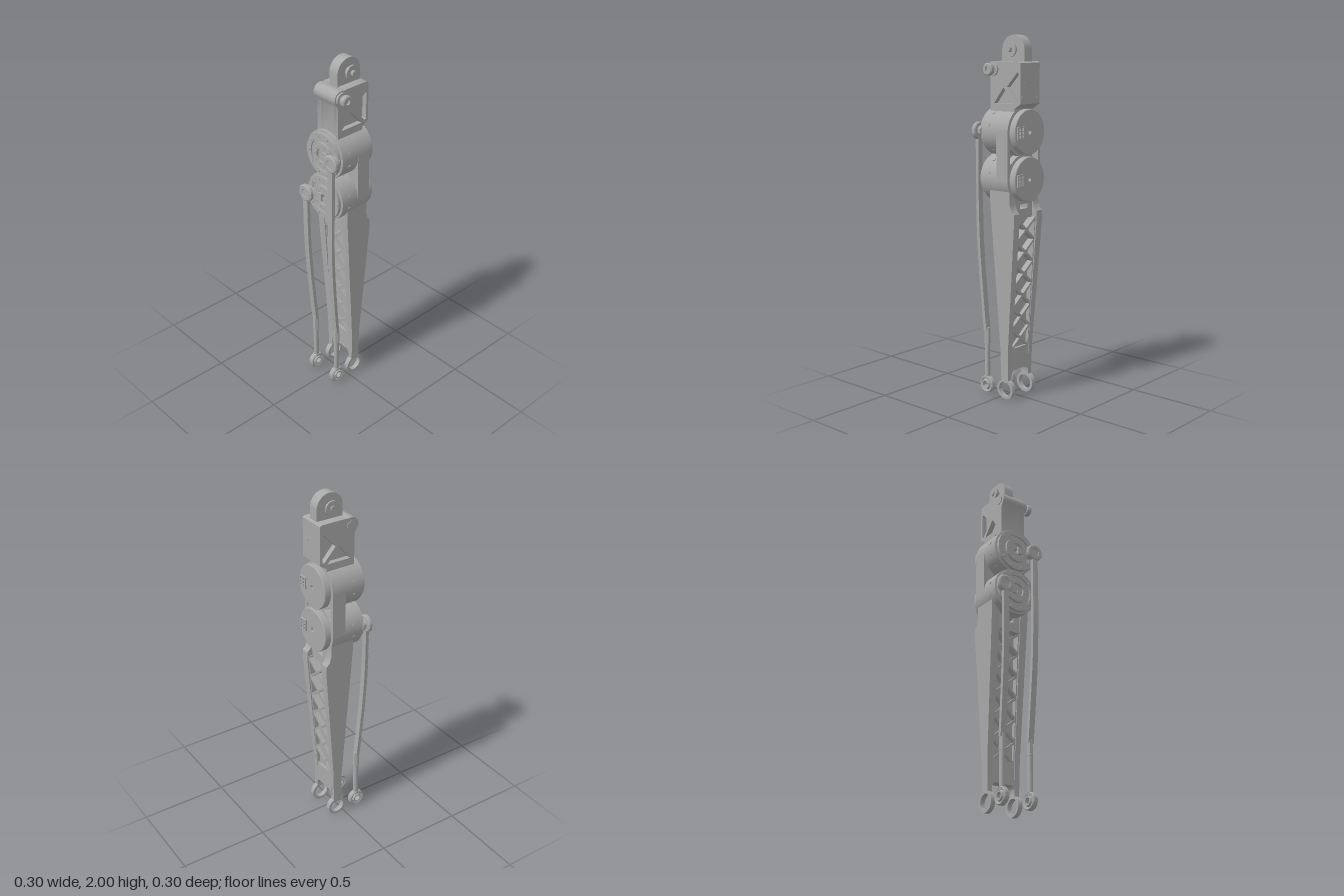
import * as THREE from 'three';
import { toCreasedNormals } from 'three/addons/utils/BufferGeometryUtils.js';

const metal = new THREE.MeshStandardMaterial({ color: 0xa8a8a8 });
metal.name = 'grey metal';

const polygon = pts => new THREE.Shape(pts.map(p => new THREE.Vector2(p[0], p[1])));
const hole = (x, y, r) => new THREE.Path().absarc(x, y, r, 0, Math.PI * 2, true);
const extrude = (shape, depth, z = 0) =>
  new THREE.ExtrudeGeometry(shape, { depth, bevelEnabled: false, curveSegments: 20 }).translate(0, 0, z);

// Extrusion running along x; the shape is drawn in (z, y)
const extrudeX = (shape, x0, x1) => extrude(shape, x1 - x0).rotateY(Math.PI / 2).translate(x0, 0, 0);

// Turned part from [radius, offset] pairs, lying along x or z
function turned(profile, axis, segments = 40) {
  const g = new THREE.LatheGeometry(profile.map(p => new THREE.Vector2(p[0], p[1])), segments);
  return axis === 'x' ? g.rotateZ(-Math.PI / 2) : g.rotateX(Math.PI / 2);
}

// Moves every vertex by a rule
function warp(g, rule) {
  const p = g.attributes.position, v = new THREE.Vector3();
  for (let i = 0; i < p.count; i++) {
    rule(v.fromBufferAttribute(p, i));
    p.setXYZ(i, v.x, v.y, v.z);
  }
  g.computeVertexNormals();
  return g;
}

export function createModel() {
  const model = new THREE.Group();
  const add = (name, g, x = 0, y = 0, z = 0) => {
    const m = new THREE.Mesh(toCreasedNormals(g, 0.6), metal);
    m.name = name;
    m.position.set(x, y, z);
    model.add(m);
    return m;
  };
  const box = (name, w, h, d, x, y, z) => add(name, new THREE.BoxGeometry(w, h, d), x, y, z);

  // Top eye with its pin and washers
  const eye = new THREE.Shape();
  eye.moveTo(-0.03, 1.84);
  eye.lineTo(0.126, 1.84);
  eye.absarc(0.048, 1.922, 0.078, 0, Math.PI, false);
  add('topEye', extrude(eye, 0.06, -0.03));
  add('topPin', turned([[0, -0.066], [0.015, -0.066], [0.015, -0.058], [0.04, -0.058], [0.04, -0.048],
    [0.026, -0.046], [0.026, 0.046], [0.04, 0.048], [0.04, 0.058], [0.015, 0.058], [0.015, 0.075], [0, 0.075]], 'z'),
  0.048, 1.925, 0);

  // Upper block: solid core between two pocketed cheeks
  const blockShape = holes => {
    const s = new THREE.Shape();
    s.moveTo(-0.07, 1.57);
    [[0.1, 1.57], [0.1, 1.615], [0.14, 1.64], [0.14, 1.855], [0.125, 1.862], [-0.01, 1.862]]
      .forEach(p => s.lineTo(p[0], p[1]));
    s.absarc(-0.05, 1.82, 0.043, 1.2, 3.6, false);
    s.lineTo(-0.07, 1.77);
    if (holes) {
      s.holes.push(polygon([[-0.045, 1.64], [0.022, 1.725], [0.095, 1.64]]));
      s.holes.push(polygon([[0.045, 1.728], [0.118, 1.805], [0.126, 1.8], [0.126, 1.655], [0.115, 1.65]]));
    }
    return s;
  };
  add('blockCore', extrude(blockShape(false), 0.1, -0.05));
  add('frontCheek', extrude(blockShape(true), 0.029, 0.05));
  add('backCheek', extrude(blockShape(true), 0.029, -0.079));
  for (const [y, z] of [[1.745, 0.045], [1.67, 0.06]]) {
    for (const s of [1, -1]) add('blockScrew', turned([[0, 0], [0.01, 0], [0.01, 0.003], [0, 0.003]], 'x', 12), 0.139, y, s * z);
  }

  // Side pin and its nut
  add('sidePin', turned([[0, 0.07], [0.036, 0.07], [0.036, 0.09], [0.022, 0.092], [0.022, 0.1], [0.03, 0.102],
    [0.033, 0.108], [0.033, 0.126], [0.028, 0.131], [0.014, 0.131], [0.014, 0.118], [0, 0.118]], 'z'), -0.05, 1.82, 0);
  add('sideNut', turned([[0, -0.083], [0.026, -0.083], [0.026, -0.07], [0, -0.07]], 'z', 6), -0.05, 1.82, 0);

  // Two motors with hollow shafts, stepped output faces, screws and sockets
  for (const y of [1.49, 1.236]) {
    add('motor', turned([[0.012, -0.1], [0.04, -0.1], [0.04, -0.113], [0.072, -0.113], [0.072, -0.098], [0.092, -0.098],
      [0.092, -0.107], [0.122, -0.107], [0.122, -0.09], [0.135, -0.088], [0.135, 0.1], [0.118, 0.1], [0.118, 0.104],
      [0.122, 0.104], [0.122, 0.136], [0.119, 0.14], [0.012, 0.14], [0.012, -0.1]], 'x', 56), 0, y, 0);
    for (let i = 0; i < 10; i++) {
      const a = i * Math.PI / 5;
      add('faceScrew', turned([[0, -0.112], [0.009, -0.112], [0.009, -0.095], [0, -0.095]], 'x', 8),
        0, y + 0.107 * Math.sin(a), 0.107 * Math.cos(a));
      add('hubScrew', turned([[0, -0.117], [0.007, -0.117], [0.007, -0.11], [0, -0.11]], 'x', 8),
        0, y + 0.056 * Math.sin(a), 0.056 * Math.cos(a));
    }
    for (const s of [1, -1]) {
      for (const deg of [-48, -16, 16, 48]) {
        const a = deg * Math.PI / 180;
        const screw = add('housingScrew', new THREE.CylinderGeometry(0.009, 0.009, 0.006, 10),
          -0.037, y + 0.135 * Math.sin(a), s * 0.135 * Math.cos(a));
        screw.rotation.x = s * (Math.PI / 2 - a);
      }
    }
    // Socket frame with contact bars
    const frame = polygon([[-0.105, -0.033], [-0.055, -0.033], [-0.055, 0.033], [-0.105, 0.033]]);
    for (const u of [-0.092, -0.068]) {
      for (const v of [-0.019, 0, 0.019]) {
        frame.holes.push(polygon([[u - 0.008, v - 0.007], [u + 0.008, v - 0.007], [u + 0.008, v + 0.007], [u - 0.008, v + 0.007]]));
      }
    }
    add('socket', extrudeX(frame, 0.138, 0.148), 0, y, 0);
  }

  // Frame joining the motors, with triangular pockets
  const joinOutline = [[-0.128, 1.236], [0.128, 1.236], [0.128, 1.49], [-0.128, 1.49]];
  const join = polygon(joinOutline);
  for (const s of [1, -1]) join.holes.push(polygon([[s * 0.117, 1.405], [s * 0.117, 1.32], [s * 0.035, 1.363]]));
  add('joiningFrame', extrudeX(join, 0.06, 0.1));
  add('joiningFloor', extrudeX(polygon(joinOutline), 0.02, 0.06));
  for (const s of [1, -1]) box('spine', 0.08, 0.254, 0.02, 0.06, 1.363, s * 0.125);

  // Leg side plates, thickening upwards, ending in rings
  const plate = new THREE.Shape();
  plate.moveTo(-0.04, 1.236);
  [[-0.04, 1.12], [0.018, 0.3], [0.021, 0.13]].forEach(p => plate.lineTo(p[0], p[1]));
  plate.absarc(0.046, 0.06, 0.057, 2.02, 1.12 + Math.PI * 2, false);
  [[0.071, 0.13], [0.075, 0.3], [0.131, 1.02], [0.129, 1.055], [0.11, 1.075], [0.1, 1.11], [0.1, 1.236]]
    .forEach(p => plate.lineTo(p[0], p[1]));
  plate.holes.push(hole(0.046, 0.06, 0.042));
  for (const s of [1, -1]) {
    add('sidePlate', warp(extrude(plate, 1), v => {
      const t = s > 0 ? v.z : 1 - v.z;
      v.z = s * (0.071 + (0.026 + 0.02 * v.y) * t);
    }));
  }

  // Cross lattice around a central web, following the taper
  const halfDepth = y => 0.024 + (y - 0.28) * 0.068;
  const taper = g => warp(g, v => { v.x = 0.048 + v.x * halfDepth(v.y); });
  add('legWeb', taper(new THREE.BoxGeometry(0.8, 0.78, 0.15).translate(0, 0.66, 0)));
  const cells = 6, pitch = 0.74 / cells, angle = Math.atan2(0.146, pitch);
  for (let i = 0; i < cells; i++) {
    const y = 0.28 + (i + 0.5) * pitch;
    for (const s of [1, -1]) {
      add('latticeBar', taper(new THREE.BoxGeometry(2, Math.hypot(0.146, pitch), 0.013)
        .rotateX(s * angle).translate(0, y, 0)));
    }
    add('latticeBoss', taper(new THREE.CylinderGeometry(0.012, 0.012, 2, 12).rotateZ(Math.PI / 2).translate(0, y, 0)));
  }
  for (const s of [1, -1]) add('latticeRail', taper(new THREE.BoxGeometry(2, 0.76, 0.01).translate(0, 0.65, s * 0.07)));

  // Cross plate below the motors, with a cable window
  const cross = polygon([[-0.09, 1.02], [0.09, 1.02], [0.1, 1.15], [-0.1, 1.15]]);
  cross.holes.push(polygon([[-0.03, 1.073], [0.03, 1.073], [0.03, 1.098], [-0.03, 1.098]]));
  add('crossPlate', extrudeX(cross, -0.03, 0.098));

  // Solid bridge above the fork, with rounded inner corners
  const bridge = new THREE.Shape();
  bridge.moveTo(-0.08, 0.29);
  bridge.lineTo(-0.08, 0.13);
  bridge.lineTo(-0.071, 0.13);
  bridge.quadraticCurveTo(-0.069, 0.165, -0.045, 0.165);
  bridge.lineTo(0.045, 0.165);
  bridge.quadraticCurveTo(0.069, 0.165, 0.071, 0.13);
  bridge.lineTo(0.08, 0.13);
  bridge.lineTo(0.08, 0.29);
  add('forkBridge', extrudeX(bridge, 0.021, 0.073));

  // Push rods: the front one drives from the upper motor, the back one from the lower
  for (const [s, top] of [[1, 1.49], [-1, 1.236]]) {
    const zAt = y => s * (0.088 + 0.011 * Math.min(1, Math.max(0, (y - 0.38) / 0.8)));
    const line = new THREE.CatmullRomCurve3([[-0.137, top], [-0.137, 1.0], [-0.13, 0.8], [-0.108, 0.52], [-0.094, 0.37]]
      .map(p => new THREE.Vector3(p[0], p[1], 0))).getPoints(24);
    const outline = [...line.map(p => [p.x - 0.01, p.y]), ...line.reverse().map(p => [p.x + 0.01, p.y])];
    add('rodShaft', warp(extrude(polygon(outline), 0.034, -0.017), v => { v.z += zAt(v.y); }));
    add('rodTopHead', turned([[0, -0.147], [0.022, -0.147], [0.025, -0.15], [0.042, -0.15], [0.049, -0.145],
      [0.049, -0.13], [0.043, -0.125], [0.028, -0.125], [0.024, -0.118], [0.032, -0.116], [0.032, -0.1], [0, -0.1]], 'x'),
    0, top, s * 0.099);
    box('crankArm', 0.012, 0.045, 0.1, -0.11, top, s * 0.055);
    add('rodSleeve', new THREE.CylinderGeometry(0.016, 0.019, 0.09, 6), -0.092, 0.345, s * 0.088);
    add('rodLower', new THREE.CylinderGeometry(0.015, 0.015, 0.24, 16), -0.092, 0.21, s * 0.088);
    // Ball joint at the foot of the rod
    add('rodEnd', turned([[0.032, -0.012], [0.043, -0.016], [0.048, -0.01], [0.048, 0.01], [0.043, 0.016],
      [0.032, 0.012], [0.032, -0.012]], 'z'), -0.092, 0.06, s * 0.088);
    add('rodBall', turned([[0.018, -0.02], [0.025, -0.02], [0.033, 0], [0.025, 0.02], [0.018, 0.02], [0.018, -0.02]], 'z'),
      -0.092, 0.06, s * 0.088);
  }
  return model;
}
